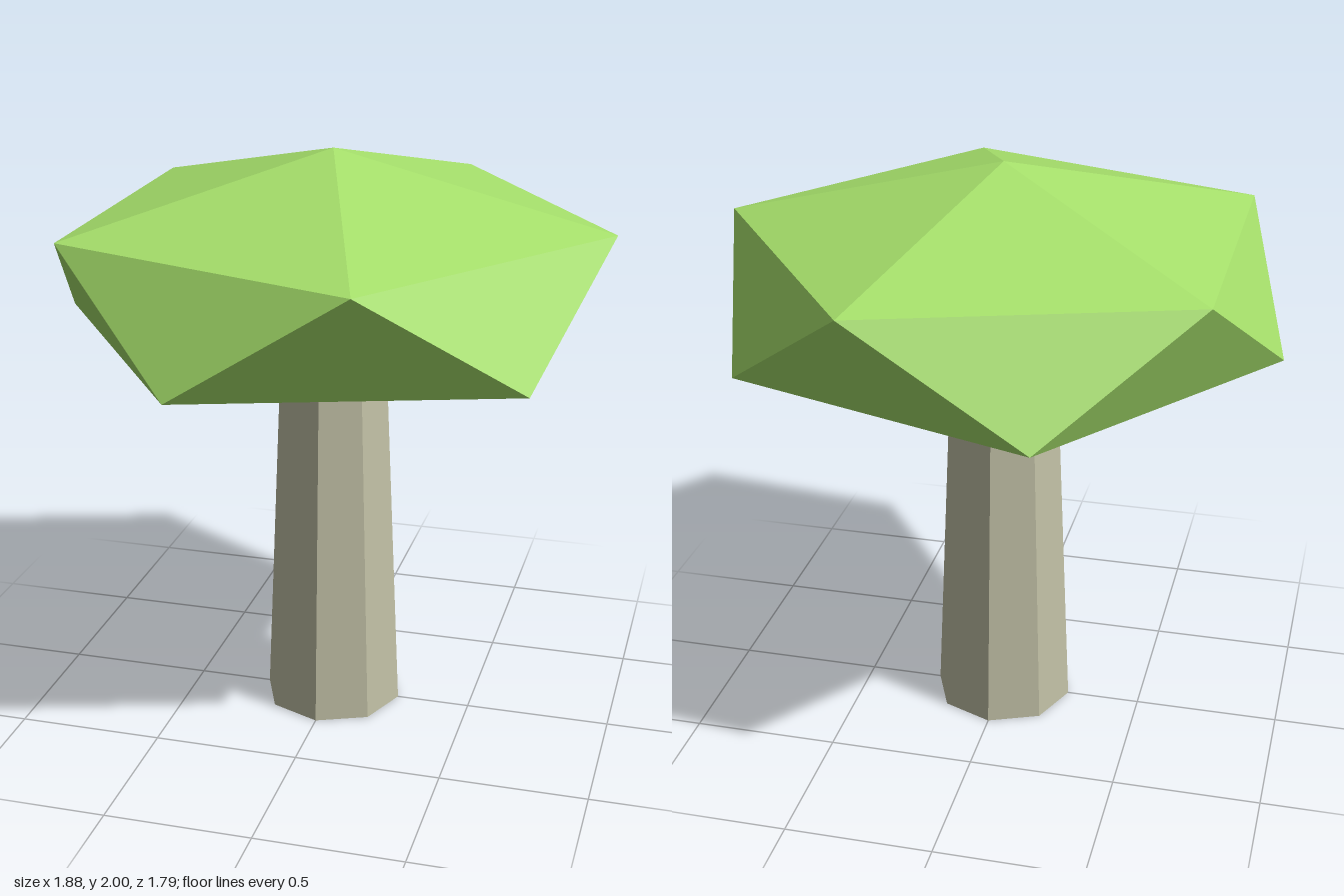
import * as THREE from 'three';

export function createModel() {
  const model = new THREE.Group();
  model.name = 'tree';

  const leafGreen = new THREE.MeshStandardMaterial({ color: 0xa6e06b, flatShading: true });
  leafGreen.name = 'leaf green';
  const barkGrey = new THREE.MeshStandardMaterial({ color: 0xc2c1a6, flatShading: true });
  barkGrey.name = 'bark grey';

  // Tapered eight-sided trunk, its top hidden inside the crown
  const trunkHeight = 1.3;
  const trunk = new THREE.Mesh(new THREE.CylinderGeometry(0.186, 0.243, trunkHeight, 8), barkGrey);
  trunk.name = 'trunk';
  trunk.position.y = trunkHeight / 2;
  model.add(trunk);

  // Crown: icosahedron turned to stand on a corner, then flattened
  const goldenRatio = (1 + Math.sqrt(5)) / 2;
  const crownGeometry = new THREE.IcosahedronGeometry(1, 0);
  crownGeometry.rotateZ(-Math.atan(1 / goldenRatio));
  crownGeometry.scale(1.05, 0.418, 1.05);
  const crown = new THREE.Mesh(crownGeometry, leafGreen);
  crown.name = 'crown';
  crown.position.y = 1.582;
  model.add(crown);

  return model;
}
